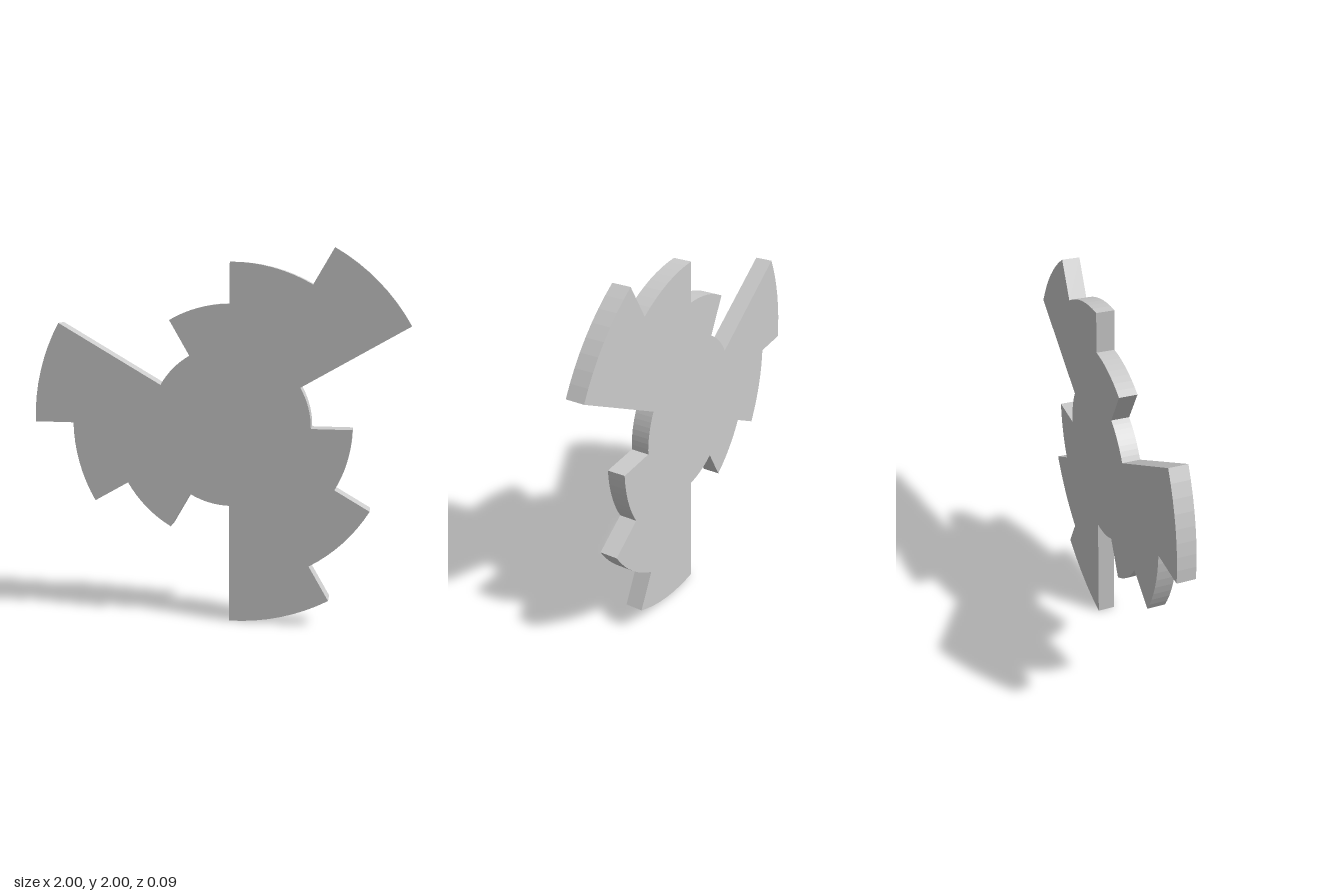
import * as THREE from 'three';

export function createModel() {
  const group = new THREE.Group();
  const material = new THREE.MeshStandardMaterial({ color: 0xcccccc });

  // Flat plate of twelve 30-degree sectors, four stepped radii repeated three times
  const R = 2 / (1 + Math.cos(Math.PI / 6));
  const steps = [0.4, 1, 0.8, 0.6];
  const sector = Math.PI / 6;
  const depth = 0.095;

  const outline = new THREE.Shape();
  for (let i = 0; i < 12; i++) {
    outline.absarc(0, 0, R * steps[i % 4], i * sector, (i + 1) * sector, false);
  }
  outline.closePath();

  const geometry = new THREE.ExtrudeGeometry(outline, { depth, bevelEnabled: false, curveSegments: 4 });
  geometry.translate(R - 1, R, -depth / 2);

  const plate = new THREE.Mesh(geometry, material);
  plate.name = 'steppedCamPlate';
  group.add(plate);
  return group;
}
